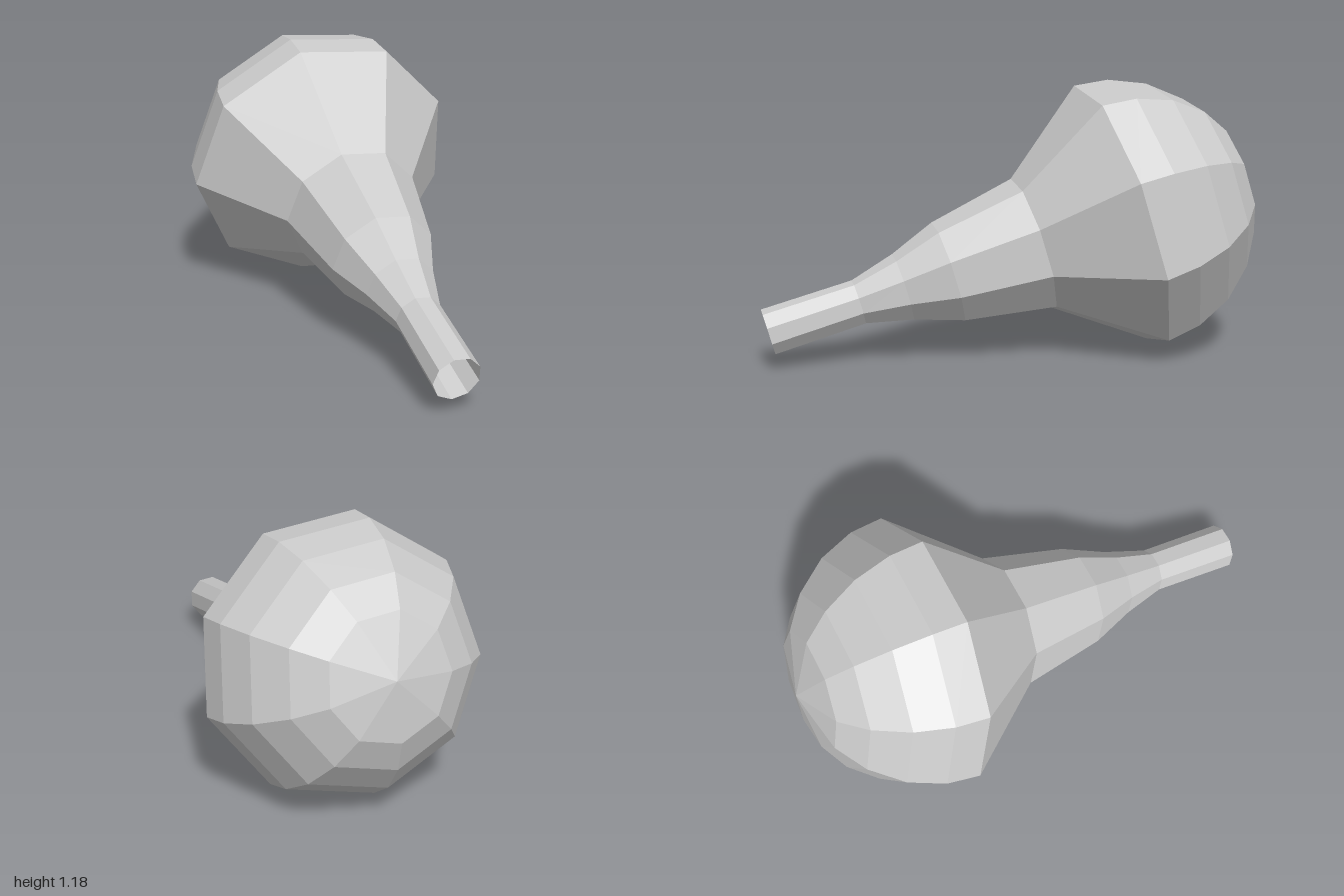
import * as THREE from 'three';

const SIDES = 9;
const R = 0.61; // radius of the round head

export function createModel() {
  const group = new THREE.Group();
  const material = new THREE.MeshStandardMaterial({
    color: 0xcccccc, flatShading: true, side: THREE.DoubleSide,
  });

  // Nine-sided turned part from [radius, distance along axis] pairs
  const addTurned = (name, profile) => {
    const points = profile.map(([r, t]) => new THREE.Vector2(r, t));
    const mesh = new THREE.Mesh(new THREE.LatheGeometry(points, SIDES), material);
    mesh.name = name;
    group.add(mesh);
  };

  // Rounded back: rings on a half sphere, closed by a shallow cone
  const angles = [90, 63.5, 48, 31, 14.5, 0].map(THREE.MathUtils.degToRad);
  addTurned('roundHead', angles.map((a, i) => [i ? R * Math.cos(a) : 0, -R * Math.sin(a)]));

  // Shoulder narrowing to the handle, open at the tip
  addTurned('shoulder', [[R, 0], [0.304, 0.402]]);
  addTurned('neck', [[0.304, 0.402], [0.23, 0.795], [0.153, 1.0], [0.1, 1.2]]);
  addTurned('handle', [[0.1, 1.2], [0.103, 1.604]]);

  // Lay the whole shape over: axis points forward, left and down
  const axis = new THREE.Vector3(0.482, -0.267, 0.834).normalize();
  const ridge = new THREE.Vector3(-0.1, 0.93, 0.35);
  ridge.addScaledVector(axis, -ridge.dot(axis)).normalize();
  const across = new THREE.Vector3().crossVectors(axis, ridge);
  group.quaternion.setFromRotationMatrix(new THREE.Matrix4().makeBasis(across, axis, ridge));
  group.position.set(-0.128, 0.59, -0.393);

  const model = new THREE.Group();
  model.name = 'bulbWithHandle';
  group.name = 'tiltedBody';
  model.add(group);
  return model;
}
